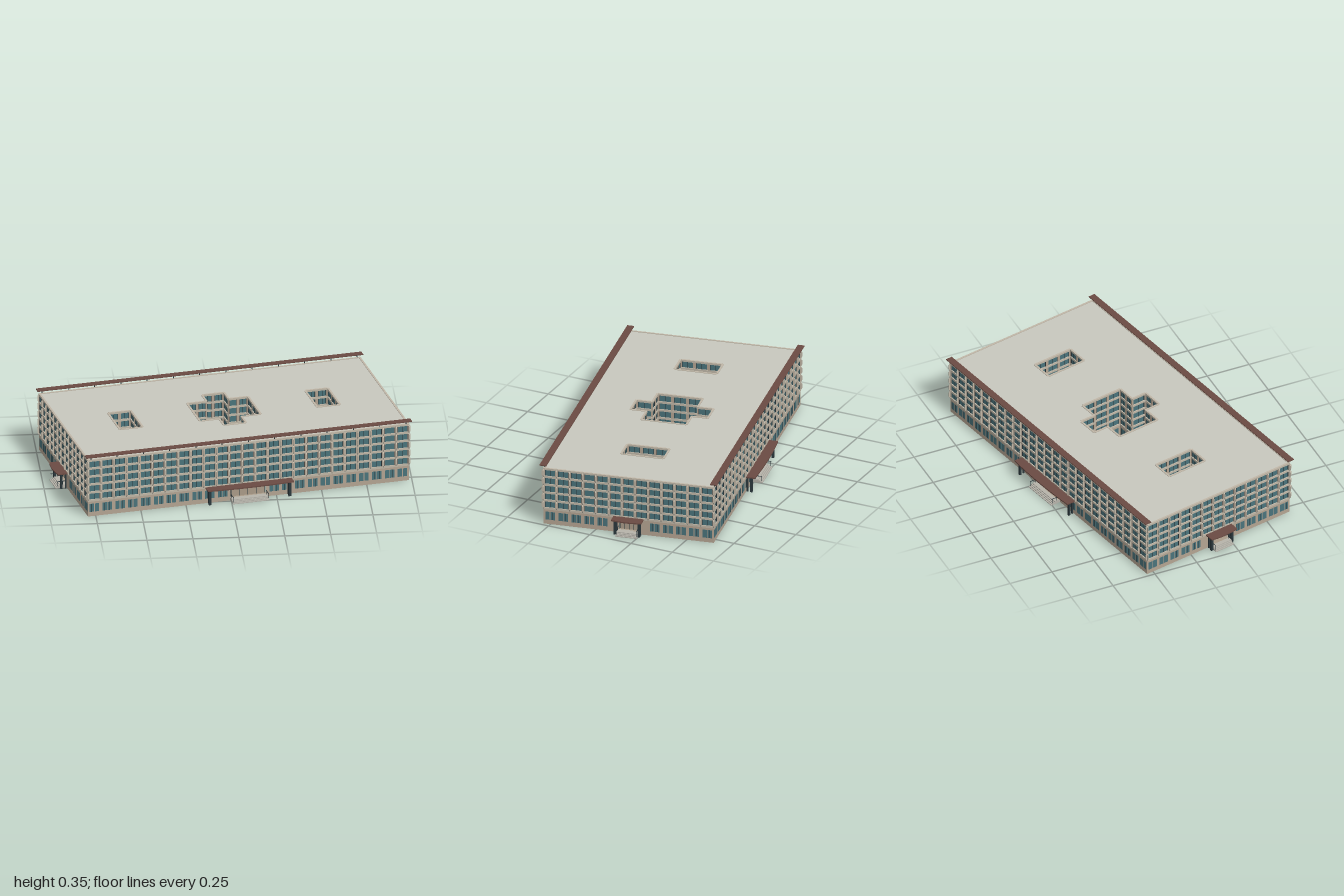
import * as THREE from 'three';
import { mergeGeometries } from 'three/addons/utils/BufferGeometryUtils.js';

const A = 0.906, B = 0.478;          // half length and half width of the walls
const Y0 = 0.092, FH = 0.047, FLOORS = 5, TOP = Y0 + FH * FLOORS;
const BAY = 0.0725;

export function createModel() {
  const mat = (name, color, side = THREE.FrontSide) => {
    const m = new THREE.MeshStandardMaterial({ color, side });
    m.name = name;
    return m;
  };
  const M = {
    wall: mat('beige wall', 0xb4a492),
    trim: mat('pale trim', 0xc0b7a7),
    glass: mat('teal glass', 0x4a737b),
    dark: mat('dark frame', 0x2b383d),
    brown: mat('brown canopy', 0x6b4b43),
    roof: mat('grey roof', 0xc8c8be),
    floor: mat('tan floor', 0xaa9b88),
    step: mat('step stone', 0xb6b3aa),
  };

  // Geometries are gathered by part name and merged into one mesh per part
  const parts = {};
  const add = (name, color, geo, matrix) => {
    const g = geo.index ? geo.toNonIndexed() : geo;
    if (matrix) g.applyMatrix4(matrix);
    (parts[name] ??= { color, list: [] }).list.push(g);
  };
  // Box given by its ranges in x, y and z
  const box = (x0, x1, y0, y1, z0, z1) =>
    new THREE.BoxGeometry(x1 - x0, y1 - y0, z1 - z0)
      .translate((x0 + x1) / 2, (y0 + y1) / 2, (z0 + z1) / 2);

  // Fin with a bulging profile on every floor
  const finShape = new THREE.Shape();
  finShape.moveTo(-0.004, Y0 - 0.002);
  for (let f = 0; f < FLOORS; f++) {
    const y = Y0 + f * FH;
    finShape.lineTo(0.004, y);
    finShape.lineTo(0.01, y + FH * 0.25);
    finShape.lineTo(0.01, y + FH * 0.8);
    finShape.lineTo(0.004, y + FH * 0.98);
  }
  finShape.lineTo(-0.004, TOP);
  const FW = 0.005;
  const finGeo = new THREE.ExtrudeGeometry(finShape, { depth: FW, bevelEnabled: false })
    .rotateY(-Math.PI / 2).translate(FW / 2, 0, 0);

  // One wall from p to q: x runs along it, z points outward
  function facade(p, q, door, outer) {
    const dx = q[0] - p[0], dz = q[1] - p[1], len = Math.hypot(dx, dz), h = len / 2;
    const mx = new THREE.Matrix4().makeRotationY(Math.atan2(-dz, dx))
      .setPosition((p[0] + q[0]) / 2, 0, (p[1] + q[1]) / 2);
    const put = (name, color, ...r) => add(name, color, box(...r), mx);
    const n = Math.max(1, Math.round(len / BAY)), w = len / n;

    // Ground floor wall, left open at the entrance
    if (door) {
      for (const s of [-1, 1]) {
        const r = [s * door, s * h].sort((a, b) => a - b);
        put('groundWall', 'wall', r[0], r[1], 0, Y0, -0.004, 0);
      }
      put('groundWall', 'wall', -door, door, 0.08, Y0, -0.004, 0);
    } else put('groundWall', 'wall', -h, h, 0, Y0, -0.004, 0);

    // Upper glass, spandrels and parapet
    put('upperGlass', 'glass', -h, h, Y0, TOP, -0.006, -0.003);
    for (let f = 0; f <= FLOORS; f++) {
      const y = Y0 + f * FH;
      put('spandrels', 'trim', -h, h, y - 0.005, Math.min(y + 0.007, TOP + 0.002), -0.004, 0.003);
    }
    put('parapet', 'trim', -h, h, TOP, TOP + 0.006, -0.008, 0.003);

    for (let i = 0; i <= n; i++) {
      const x = -h + i * w;
      // Piers and fins between bays
      put('piers', 'wall', Math.max(x - 0.008, -h), Math.min(x + 0.008, h), Y0, TOP, -0.004, 0.001);
      if (outer) add('fins', 'trim', finGeo.clone(), new THREE.Matrix4().multiplyMatrices(mx, new THREE.Matrix4().makeTranslation(x, 0, 0)));
      if (i === n) break;
      const c = x + w / 2;
      put('mullions', 'dark', c - 0.001, c + 0.001, Y0, TOP, -0.004, -0.001);
      for (const s of [-1, 1]) {
        const e = c + s * (w / 2 - 0.009);
        put('mullions', 'dark', e - 0.001, e + 0.001, Y0, TOP, -0.004, 0);
      }
      // Ground floor windows in pairs
      if (door && Math.abs(c) < door + w / 2) continue;
      for (const s of [-1, 1]) {
        const a = c + s * w * 0.2;
        put('groundWindows', 'glass', a - w * 0.17, a + w * 0.17, 0.026, 0.073, -0.001, 0.001);
        put('groundMullions', 'dark', a - 0.0008, a + 0.0008, 0.026, 0.073, 0, 0.0016);
      }
    }
  }
  const ring = (pts, doors, outer) =>
    pts.forEach((p, i) => facade(p, pts[(i + 1) % pts.length], doors[i], outer));

  // Outer walls
  const outline = [[-A, B], [A, B], [A, -B], [-A, -B]];
  ring(outline, [0.1, 0.056, 0.1, 0.056], true);

  // Courtyards: two rectangles and a central cross, walls facing inward
  const sideCourt = (c) => [[c - 0.062, -0.117], [c + 0.062, -0.117], [c + 0.062, 0.117], [c - 0.062, 0.117]];
  const a = 0.06, b = 0.215, c = 0.17, d = 0.125;
  const cross = [[-a, -b], [a, -b], [a, -d], [c, -d], [c, d], [a, d], [a, b], [-a, b], [-a, d], [-c, d], [-c, -d], [-a, -d]];
  const courts = [sideCourt(-0.557), sideCourt(0.557), cross];
  ring(courts[0], [0, 0, 0, 0.052], false);
  ring(courts[1], [0, 0.052, 0, 0], false);
  ring(cross, [0.055, 0, 0, 0, 0, 0, 0.055], false);

  // Roof and lower slab with courtyard openings
  const slab = (name, top, grow) => {
    const v = (pts, k) => pts.map(([x, z]) => new THREE.Vector2(x + Math.sign(x) * k, z + Math.sign(z) * k));
    const s = new THREE.Shape(v(outline, grow));
    courts.forEach((pts) => s.holes.push(new THREE.Path(v(pts, 0))));
    add(name, 'roof', new THREE.ExtrudeGeometry(s, { depth: 0.004, bevelEnabled: false })
      .rotateX(Math.PI / 2).translate(0, top, 0));
  };
  slab('roof', TOP + 0.003, 0);
  slab('lowerSlab', Y0, -0.004);

  // Raised sunshade strips on posts along both long sides
  for (const s of [-1, 1]) {
    const z = [s * 0.46, s * 0.498].sort((p, q) => p - q);
    add('sunshade', 'brown', box(-0.919, 0.919, 0.35, 0.355, z[0], z[1]));
    for (let i = 0; i <= 12; i++) {
      const x = -0.89 + i * 1.78 / 12;
      add('sunshadePosts', 'dark', box(x - 0.002, x + 0.002, TOP, 0.351, s * 0.478 - 0.002, s * 0.478 + 0.002));
    }
  }

  // Passage floors
  add('passageFloor', 'floor', box(-a, a, 0.012, 0.018, -0.22, 0.22));
  for (const s of [-1, 1]) {
    const z = [s * 0.215, s * 0.49].sort((p, q) => p - q);
    add('passageFloor', 'floor', box(-0.1, 0.1, 0.012, 0.018, z[0], z[1]));
    const x = [s * 0.54, s * 0.92].sort((p, q) => p - q);
    add('passageFloor', 'floor', box(x[0], x[1], 0.012, 0.018, -0.055, 0.055));
  }

  // Entrance: curved canopy, posts, doors, steps and rails
  function entrance(angle, dist, halfCanopy, depth, halfDoor) {
    const mx = new THREE.Matrix4().makeRotationY(angle)
      .multiply(new THREE.Matrix4().makeTranslation(0, 0, dist));
    const put = (name, color, ...r) => add(name, color, box(...r), mx);
    const s = new THREE.Shape();
    s.moveTo(-halfCanopy, -0.003);
    s.lineTo(halfCanopy, -0.003);
    s.lineTo(halfCanopy, depth);
    s.quadraticCurveTo(0, depth + 0.018, -halfCanopy, depth);
    add('canopy', 'brown', new THREE.ExtrudeGeometry(s, { depth: 0.007, bevelEnabled: false, curveSegments: 10 })
      .rotateX(Math.PI / 2).translate(0, 0.094, 0), mx);
    const hd = halfDoor;
    put('doors', 'floor', -hd, hd, 0.018, 0.082, -0.016, -0.012);
    for (let i = 0; i <= 4; i++) {
      const x = -hd + i * hd / 2;
      put('doorFrames', 'dark', x - 0.0015, x + 0.0015, 0.018, 0.082, -0.012, -0.01);
    }
    for (const k of [-1, 1]) {
      const x = k * (halfCanopy - 0.018);
      put('canopyPosts', 'dark', x - 0.007, x + 0.007, 0, 0.088, depth - 0.03, depth - 0.018);
      put('canopyPosts', 'dark', x - 0.004, x + 0.004, 0, 0.088, 0.003, 0.011);
      const r = k * (hd + 0.004);
      put('rails', 'dark', r - 0.001, r + 0.001, 0.036, 0.039, 0, depth);
      for (const z of [0.02, depth - 0.004]) put('rails', 'dark', r - 0.001, r + 0.001, 0, 0.038, z - 0.001, z + 0.001);
    }
    for (let i = 0; i < 4; i++)
      put('steps', 'step', -hd - 0.008, hd + 0.008, 0.0045 * i, 0.0045 * (i + 1), 0, depth + 0.006 - i * 0.008);
  }
  for (const t of [0, Math.PI]) {
    entrance(t, B, 0.243, 0.053, 0.095);
    entrance(t + Math.PI / 2, A, 0.085, 0.056, 0.052);
  }

  const building = new THREE.Group();
  building.name = 'building';
  for (const [name, { color, list }] of Object.entries(parts)) {
    const mesh = new THREE.Mesh(mergeGeometries(list), M[color]);
    mesh.name = name;
    building.add(mesh);
  }
  building.rotation.y = 0.2;
  const model = new THREE.Group();
  model.name = 'officeBuilding';
  model.add(building);
  return model;
}
